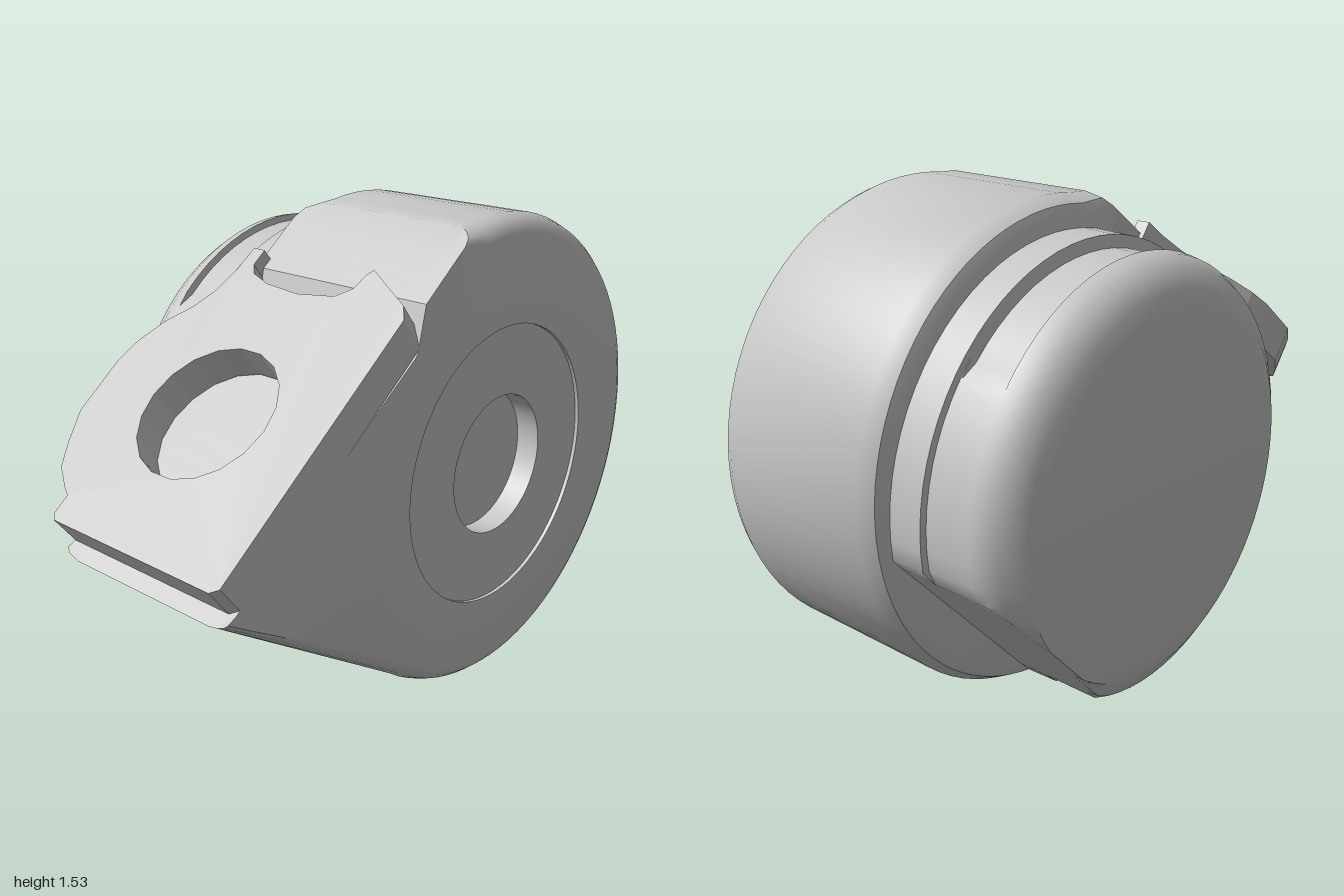
import * as THREE from 'three';
import { toCreasedNormals } from 'three/addons/utils/BufferGeometryUtils.js';

const grey = new THREE.MeshStandardMaterial({ color: 0xc8c8c8 });
grey.name = 'plain grey';

// Skin over rings of [x, y, z] points, each ring counter-clockwise, stacked along +z
function loft(name, rings, crease) {
  const n = rings[0].length, index = [];
  for (let i = 0; i < rings.length - 1; i++) {
    for (let j = 0; j < n; j++) {
      const a = i * n + j, b = i * n + (j + 1) % n;
      index.push(a, b, b + n, a, b + n, a + n);
    }
  }
  const geo = new THREE.BufferGeometry();
  geo.setAttribute('position', new THREE.Float32BufferAttribute(rings.flat(2), 3));
  geo.setIndex(index);
  const mesh = new THREE.Mesh(toCreasedNormals(geo, crease), grey);
  mesh.name = name;
  return mesh;
}

// Teardrop outline: a round back with a pointed nose.
// Each point is [x, y, dx, dy]; (dx, dy) is the way it moves where the rim is rounded.
function teardrop() {
  const pts = [], R = 0.752, cy = 0.03;
  const line = (a, b, k0, k1, n) => {
    for (let i = 0; i < n; i++) {
      const t = i / n, k = k0 + (k1 - k0) * t;
      pts.push([a[0] + (b[0] - a[0]) * t, a[1] + (b[1] - a[1]) * t, 0.62 * k, 0.79 * k]);
    }
  };
  const apex = [-0.137, 0.778], step = [-0.37, 0.617], seat = [-0.41, 0.48];
  const ledge = [-1.145, -0.005], nose = [-1.187, -0.035], belly = [-0.483, -0.546];
  pts.push([...apex, -1, -0.69]);
  line([-0.23, 0.714], step, 0, 0, 3);
  line(step, seat, 0, 0, 2);
  line(seat, ledge, 0, 0, 12);
  line(ledge, nose, 0, 0, 1);
  line(nose, belly, 0.4, 1, 8);
  for (let i = 0; i < 54; i++) {
    const t = (230 + (230 * i) / 54) * Math.PI / 180, c = Math.cos(t), s = Math.sin(t);
    pts.push([R * c, cy + R * s, -c, -s]);
  }
  return pts;
}

function makeHousing() {
  const outline = teardrop();
  const rim = (z, inset) => outline.map(([x, y, dx, dy]) => [x + dx * inset, y + dy * inset, z]);
  const circle = (z, r) => outline.map(([x, y]) => {
    const f = r / Math.hypot(x, y);
    return [x * f, y * f, z];
  });
  return loft('housing', [
    circle(-0.66, 0), rim(-0.66, 0.06), rim(-0.645, 0.025), rim(-0.6, 0),
    rim(-0.06, 0), rim(-0.03, 0.012), rim(-0.01, 0.03), rim(0, 0.055),
    // shallow hub ring, then the axle socket
    circle(0, 0.45), circle(-0.012, 0.45), circle(-0.012, 0.225),
    circle(-0.09, 0.225), circle(-0.09, 0),
  ], 0.6);
}

function makeWheel() {
  // each ring: z, radius, depth of the slot along the top
  const profile = [
    [-1.05, 0, 0], [-1.05, 0.53, 0], [-1.04, 0.575, 0], [-1.005, 0.63, 0], [-0.96, 0.658, 0],
    [-0.925, 0.665, 0], [-0.92, 0.665, 0.02], [-0.78, 0.668, 0.02],
    [-0.775, 0.668, 0], [-0.77, 0.685, 0], [-0.6, 0.69, 0],
  ];
  const n = 72;
  const rings = profile.map(([z, r, slot]) => Array.from({ length: n }, (_, i) => {
    const deg = (i * 360) / n, t = deg * Math.PI / 180;
    const rr = deg > 38 && deg < 131 ? r - slot : r;
    let x = rr * Math.cos(t), y = rr * Math.sin(t);
    // flat cut on the lower back
    const over = (x - y) * Math.SQRT1_2 - 0.565;
    if (over > 0) { x -= over * Math.SQRT1_2; y += over * Math.SQRT1_2; }
    return [x, y, z];
  }));
  return loft('wheel', rings, 0.6);
}

function makePlate() {
  // x runs along the axle, y runs from the nose up the slope
  const outline = [
    [-0.025, 0], [0, 0.02], [0, 0.9], [-0.03, 0.945], [-0.2, 1.04], [-0.215, 1.02],
    [-0.225, 0.965], [-0.27, 0.925], [-0.4, 0.905], [-0.53, 0.915], [-0.605, 0.94],
    [-0.63, 0.97], [-0.63, 1.03], [-0.675, 1.03], [-0.68, 0.94], [-0.7, 0.85],
    [-0.74, 0.775], [-0.804, 0.7], [-0.85, 0.61], [-0.868, 0.53], [-0.865, 0.335],
    [-0.82, 0.23], [-0.776, 0.15], [-0.71, 0.1], [-0.677, 0.08], [-0.677, 0.02], [-0.66, 0],
  ];
  const shape = new THREE.Shape(outline.map(([x, y]) => new THREE.Vector2(x, y)));
  const hole = new THREE.Path();
  hole.absarc(-0.415, 0.46, 0.225, 0, Math.PI * 2, true);
  shape.holes.push(hole);
  const thickness = 0.12;
  const geo = new THREE.ExtrudeGeometry(shape, { depth: thickness, bevelEnabled: false, curveSegments: 9 });
  geo.translate(0, 0, -thickness);
  const mesh = new THREE.Mesh(geo, grey);
  mesh.name = 'mountingPlate';
  const c = 0.821, s = 0.571;
  mesh.applyMatrix4(new THREE.Matrix4().makeBasis(
    new THREE.Vector3(0, 0, 1), new THREE.Vector3(c, s, 0), new THREE.Vector3(-s, c, 0),
  ).setPosition(-1.207, 0.083, 0));
  return mesh;
}

export function createModel() {
  const model = new THREE.Group();
  model.name = 'caster';
  const body = new THREE.Group();
  body.name = 'casterBody';
  body.add(makeHousing(), makeWheel(), makePlate());
  // the axle leans slightly up and forward
  const axle = new THREE.Vector3(1, 0.045, 0.097).normalize();
  const turn = new THREE.Quaternion().setFromAxisAngle(new THREE.Vector3(0, 1, 0), Math.PI / 2);
  body.quaternion.setFromUnitVectors(new THREE.Vector3(1, 0, 0), axle).multiply(turn);
  body.position.set(0.515, 0.745, -0.195);
  model.add(body);
  return model;
}
